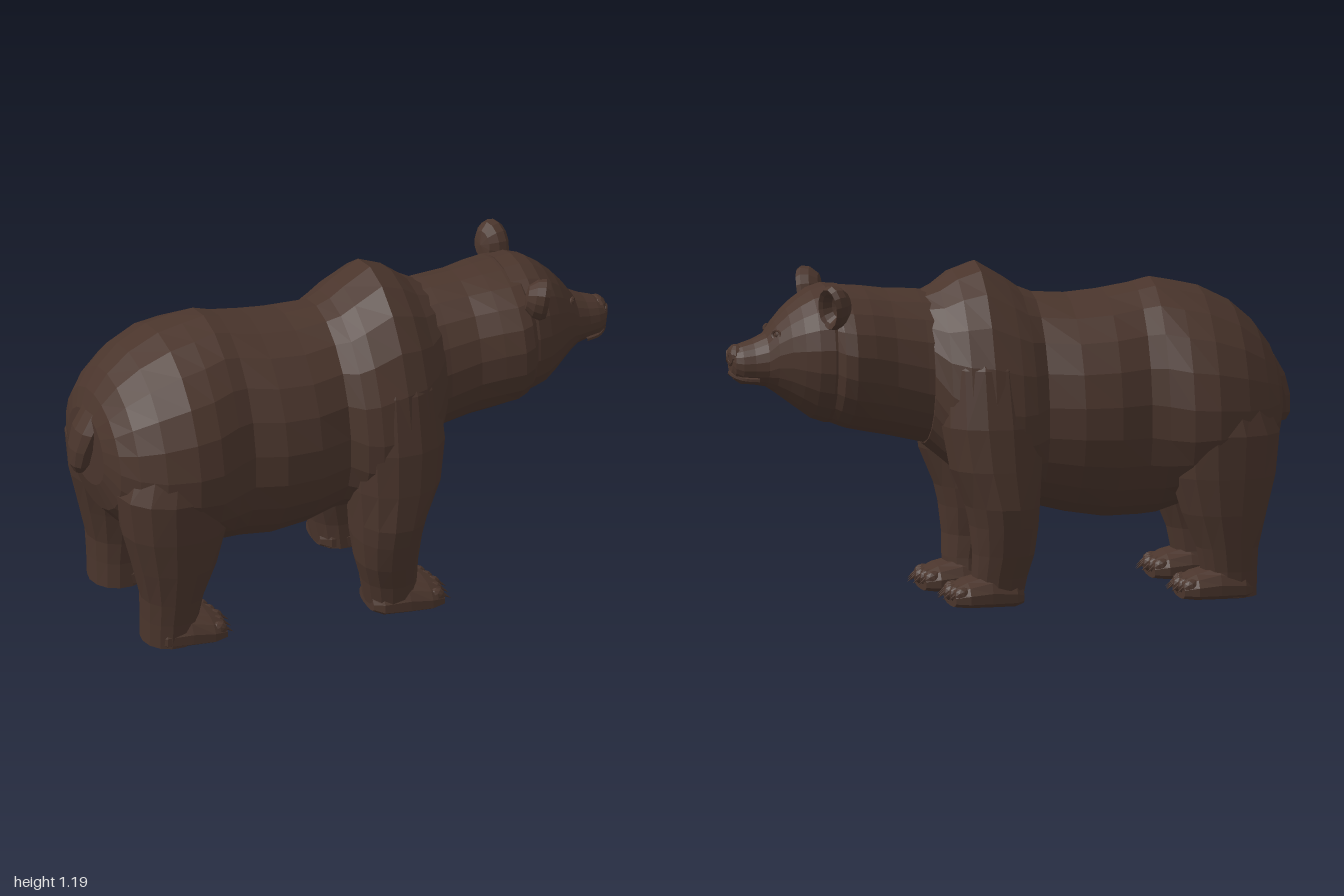
import * as THREE from 'three';

const fur = new THREE.MeshStandardMaterial({ color: 0x4a352c, flatShading: true });
fur.name = 'dark brown fur';

// Closed skin over a row of rings, capped at both ends and wound outwards
function loft(rings) {
  const n = rings[0].length, pts = rings.flat(), idx = [];
  for (let r = 0; r < rings.length - 1; r++) {
    for (let i = 0; i < n; i++) {
      const a = r * n + i, b = r * n + (i + 1) % n;
      idx.push(a, b, a + n, b, b + n, a + n);
    }
  }
  const centre = ring => ring.reduce((s, p) => s.add(p), new THREE.Vector3()).divideScalar(n);
  const last = (rings.length - 1) * n, c0 = pts.length;
  const all = [...pts, centre(rings[0]), centre(rings[rings.length - 1])];
  for (let i = 0; i < n; i++) {
    const j = (i + 1) % n;
    idx.push(c0, j, i, c0 + 1, last + i, last + j);
  }
  let volume = 0;
  for (let i = 0; i < idx.length; i += 3) {
    volume += all[idx[i]].dot(all[idx[i + 1]].clone().cross(all[idx[i + 2]]));
  }
  if (volume < 0) idx.reverse();
  const g = new THREE.BufferGeometry().setFromPoints(all);
  g.setIndex(idx);
  g.computeVertexNormals();
  return g;
}

const bend = (v, e) => Math.sign(v) * Math.abs(v) ** e;

// Upright section across the body: x, bottom, top, half width, height of widest point
function crossRing([x, bottom, top, w, mid], n, e) {
  return Array.from({ length: n }, (_, i) => {
    const a = (i + 0.5) / n * Math.PI * 2, s = bend(Math.sin(a), e);
    return new THREE.Vector3(x, mid + s * (s > 0 ? top - mid : mid - bottom), w * bend(Math.cos(a), e));
  });
}

// Level section of a limb: y, centre x, radius x, centre z, radius z
function levelRing([y, cx, rx, cz, rz], n) {
  return Array.from({ length: n }, (_, i) => {
    const a = i / n * Math.PI * 2;
    return new THREE.Vector3(cx + rx * bend(Math.cos(a), 0.93), y, cz + rz * bend(Math.sin(a), 0.93));
  });
}

function add(parent, name, geometry, x = 0, y = 0, z = 0) {
  const mesh = new THREE.Mesh(geometry, fur);
  mesh.name = name;
  mesh.position.set(x, y, z);
  parent.add(mesh);
  return mesh;
}

const bodySections = [
  [-0.938, 0.56, 0.82, 0.17, 0.68], [-0.91, 0.47, 0.885, 0.265, 0.66], [-0.86, 0.42, 0.955, 0.325, 0.64],
  [-0.78, 0.40, 1.025, 0.385, 0.63], [-0.67, 0.37, 1.08, 0.42, 0.63], [-0.58, 0.32, 1.10, 0.41, 0.63],
  [-0.50, 0.29, 1.115, 0.372, 0.64], [-0.44, 0.282, 1.10, 0.35, 0.65], [-0.33, 0.28, 1.08, 0.38, 0.65],
  [-0.20, 0.30, 1.068, 0.375, 0.65], [-0.08, 0.33, 1.075, 0.335, 0.65], [-0.03, 0.35, 1.095, 0.38, 0.63],
  [0.02, 0.37, 1.13, 0.40, 0.62], [0.12, 0.42, 1.19, 0.405, 0.62], [0.20, 0.465, 1.16, 0.38, 0.65],
  [0.26, 0.515, 1.115, 0.325, 0.70], [0.31, 0.555, 1.09, 0.262, 0.78],
];
const neckSections = [
  [0.20, 0.53, 1.08, 0.26, 0.78], [0.33, 0.565, 1.095, 0.252, 0.80], [0.44, 0.59, 1.10, 0.255, 0.83],
  [0.52, 0.605, 1.11, 0.28, 0.85], [0.59, 0.62, 1.115, 0.296, 0.86], [0.63, 0.635, 1.115, 0.28, 0.87],
  [0.655, 0.645, 1.11, 0.245, 0.88],
];
const headSections = [
  [0.60, 0.64, 1.12, 0.24, 0.88], [0.66, 0.64, 1.125, 0.25, 0.88], [0.71, 0.657, 1.11, 0.234, 0.88],
  [0.755, 0.69, 1.08, 0.203, 0.88], [0.795, 0.72, 1.045, 0.168, 0.88], [0.835, 0.75, 1.0, 0.132, 0.87],
  [0.865, 0.77, 0.957, 0.106, 0.85], [0.91, 0.778, 0.935, 0.088, 0.845], [0.95, 0.78, 0.922, 0.077, 0.845],
  [0.975, 0.797, 0.91, 0.064, 0.85], [0.985, 0.82, 0.895, 0.046, 0.86],
];
const frontLegSections = [
  [0.03, 0.09, 0.085, 0.25, 0.105], [0.12, 0.085, 0.097, 0.26, 0.112], [0.20, 0.073, 0.108, 0.268, 0.13],
  [0.30, 0.072, 0.12, 0.268, 0.158], [0.37, 0.078, 0.13, 0.27, 0.17], [0.50, 0.10, 0.163, 0.27, 0.162],
  [0.65, 0.11, 0.178, 0.25, 0.168], [0.85, 0.115, 0.165, 0.205, 0.165], [1.0, 0.12, 0.12, 0.14, 0.13],
];
const hindLegSections = [
  [0.03, -0.73, 0.097, 0.25, 0.107], [0.12, -0.728, 0.10, 0.255, 0.107], [0.20, -0.722, 0.11, 0.258, 0.115],
  [0.32, -0.712, 0.15, 0.255, 0.137], [0.45, -0.71, 0.187, 0.245, 0.16], [0.60, -0.71, 0.205, 0.23, 0.182],
  [0.75, -0.69, 0.17, 0.20, 0.17], [0.86, -0.68, 0.09, 0.17, 0.12],
];
const tailSections = [
  [0.60, -0.965, 0.018, 0, 0.025], [0.63, -0.965, 0.034, 0, 0.05], [0.69, -0.955, 0.043, 0, 0.065],
  [0.76, -0.93, 0.05, 0, 0.08], [0.83, -0.895, 0.045, 0, 0.075],
];

// Paw with flat sole, five toes and claws; heelX is its rearmost point
function buildPaw(parent, heelX, floor, cz) {
  const paw = new THREE.Group();
  paw.name = 'paw';
  paw.position.set(heelX, floor, cz);
  parent.add(paw);
  const sections = [
    [0, 0.008, 0.07, 0.07, 0.03], [0.03, 0, 0.10, 0.105, 0.03], [0.12, 0, 0.12, 0.12, 0.03],
    [0.20, 0, 0.097, 0.128, 0.03], [0.25, 0.005, 0.07, 0.11, 0.03],
  ];
  add(paw, 'footPad', loft(sections.map(s => crossRing(s, 14, 0.8))));
  for (let i = -2; i <= 2; i++) {
    const back = Math.abs(i) * 0.009;
    const toe = add(paw, 'toe', new THREE.IcosahedronGeometry(0.03, 1), 0.24 - back, 0.05, i * 0.046);
    toe.scale.set(1.1, 1, 0.78);
    const claw = add(paw, 'claw', new THREE.ConeGeometry(0.011, 0.06, 5), 0.272 - back, 0.048, i * 0.046);
    claw.rotation.z = -2.2;
  }
}

function buildLeg(parent, name, sections, heelX, side, floor) {
  const leg = new THREE.Group();
  leg.name = name;
  parent.add(leg);
  const mirrored = sections.map(([y, cx, rx, cz, rz]) => [y, cx, rx, cz * side, rz]);
  add(leg, 'limb', loft(mirrored.map(s => levelRing(s, 14))));
  buildPaw(leg, heelX, floor, side > 0 ? 0.25 : -0.26);
}

// Cupped ear, opening forwards and slightly outwards
function buildEar(parent, side) {
  const profile = [[0, -0.04], [0.045, -0.033], [0.07, -0.008], [0.077, 0.018], [0.068, 0.034], [0.052, 0.026], [0.035, 0], [0, -0.01]];
  const cup = new THREE.LatheGeometry(profile.map(p => new THREE.Vector2(...p)), 14);
  cup.rotateZ(-Math.PI / 2);
  const ear = add(parent, 'ear', cup, 0.655, 1.073, 0.228 * side);
  ear.scale.set(1.1, 1.1, 0.85);
  ear.rotation.set(0.45 * side, -0.4 * side, 0);
}

function buildFace(head) {
  for (const side of [1, -1]) {
    buildEar(head, side);
    add(head, 'eye', new THREE.SphereGeometry(0.014, 8, 6), 0.833, 0.96, 0.085 * side);
    const lid = add(head, 'eyelid', new THREE.TorusGeometry(0.02, 0.006, 5, 10), 0.838, 0.96, 0.086 * side);
    lid.scale.y = 0.7;
    lid.rotation.set(0.15 * side, Math.PI / 2 - 0.65 * side, 0, 'YXZ');
    const nostril = add(head, 'nostril', new THREE.TorusGeometry(0.017, 0.007, 6, 10), 0.987, 0.875, 0.027 * side);
    nostril.rotation.y = Math.PI / 2 - 0.3 * side;
  }
  const nose = add(head, 'nose', new THREE.SphereGeometry(0.052, 10, 7), 0.965, 0.876, 0);
  nose.scale.set(0.65, 0.85, 1.1);
  // Lips follow the front of the muzzle
  const lip = new THREE.CatmullRomCurve3([
    [0.895, 0.80, 0.078], [0.945, 0.803, 0.064], [0.978, 0.813, 0.03], [0.983, 0.82, 0],
    [0.978, 0.813, -0.03], [0.945, 0.803, -0.064], [0.895, 0.80, -0.078],
  ].map(p => new THREE.Vector3(...p)));
  add(head, 'lips', new THREE.TubeGeometry(lip, 18, 0.009, 6));
}

export function createModel() {
  const bear = new THREE.Group();
  bear.name = 'bear';
  add(bear, 'body', loft(bodySections.map(s => crossRing(s, 22, 1))));
  add(bear, 'neck', loft(neckSections.map(s => crossRing(s, 20, 0.96))));
  add(bear, 'tail', loft(tailSections.map(s => levelRing(s, 10))));

  const head = new THREE.Group();
  head.name = 'head';
  bear.add(head);
  add(head, 'skull', loft(headSections.map(s => crossRing(s, 20, 0.95))));
  buildFace(head);

  for (const side of [1, -1]) {
    const label = side > 0 ? 'Near' : 'Far';
    buildLeg(bear, 'frontLeg' + label, frontLegSections, 0.01, side, side > 0 ? 0 : 0.015);
    buildLeg(bear, 'hindLeg' + label, hindLegSections, -0.8, side, 0.02);
  }
  return bear;
}
